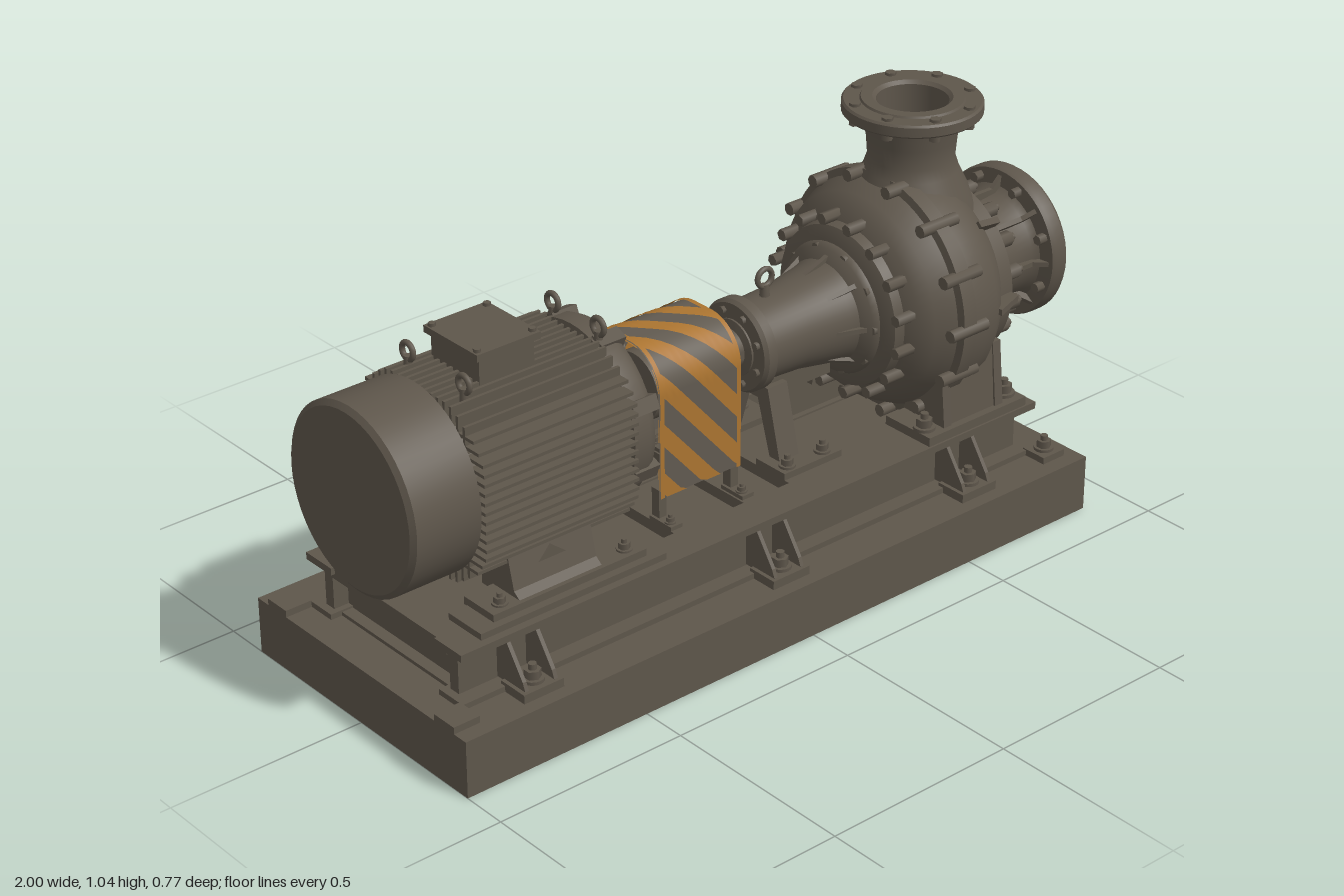
import * as THREE from 'three';
import { toCreasedNormals, mergeGeometries } from 'three/addons/utils/BufferGeometryUtils.js';
import { ParametricGeometry } from 'three/addons/geometries/ParametricGeometry.js';

const iron = new THREE.MeshStandardMaterial({ color: 0x5e564b, side: THREE.DoubleSide });
iron.name = 'dark painted iron';
const orange = new THREE.MeshStandardMaterial({ color: 0xab7430, side: THREE.DoubleSide });
orange.name = 'warning orange';
const guardGrey = new THREE.MeshStandardMaterial({ color: 0x615a50, side: THREE.DoubleSide });
guardGrey.name = 'guard grey';

const AXIS = 0.565; // height of the shaft line

export function createModel() {
  const root = new THREE.Group();
  root.name = 'pumpSet';
  const add = (name, geo, mat = iron, parent = root) => {
    const m = new THREE.Mesh(geo, mat);
    m.name = name;
    parent.add(m);
    return m;
  };
  const group = (name) => {
    const g = new THREE.Group();
    g.name = name;
    root.add(g);
    return g;
  };
  // box given by its limits
  const box = (x0, x1, y0, y1, z0, z1) => new THREE.BoxGeometry(x1 - x0, y1 - y0, Math.abs(z1 - z0))
    .translate((x0 + x1) / 2, (y0 + y1) / 2, (z0 + z1) / 2);
  const lathe = (pts, seg = 48) => toCreasedNormals(
    new THREE.LatheGeometry(pts.map(([r, h]) => new THREE.Vector2(r, h)), seg), 0.6);
  // turned part along the shaft, points are [radius, x]
  const turned = (pts, seg) => lathe(pts, seg).rotateZ(-Math.PI / 2).translate(0, AXIS, 0);
  const outline = (pts) => new THREE.Shape(pts.map(([a, b]) => new THREE.Vector2(a, b)));
  // outline in x,y extruded between z0 and z1
  const slabZ = (pts, z0, z1) => new THREE.ExtrudeGeometry(outline(pts),
    { depth: z1 - z0, bevelEnabled: false }).translate(0, 0, z0);
  // outline in z,y extruded between x0 and x1
  const slabX = (pts, x0, x1) => new THREE.ExtrudeGeometry(outline(pts.map(([z, y]) => [-z, y])),
    { depth: x1 - x0, bevelEnabled: false }).rotateY(Math.PI / 2).translate(x0, 0, 0);
  // upright washer, nut and stud
  const bolt = (x, y, z, r = 0.02) => mergeGeometries([
    new THREE.CylinderGeometry(r * 1.35, r * 1.35, r * 0.4, 16).translate(x, y + r * 0.2, z),
    new THREE.CylinderGeometry(r, r, r, 6).translate(x, y + r * 0.9, z),
    new THREE.CylinderGeometry(r * 0.5, r * 0.5, r, 10).translate(x, y + r * 1.6, z)]);
  // ring of copies around the shaft; geometry starts at the top of the ring
  const ring = (name, geo, n, parent, phase = 0.5) => {
    const all = [];
    for (let i = 0; i < n; i++) all.push(geo.clone().rotateX(((i + phase) / n) * Math.PI * 2));
    return add(name, mergeGeometries(all).translate(0, AXIS, 0), iron, parent);
  };
  const stud = (x0, x1, r, size, sides = 6) => new THREE.CylinderGeometry(size, size, x1 - x0, sides)
    .rotateZ(Math.PI / 2).translate((x0 + x1) / 2, r, 0);

  // Plinth and steel frame
  add('concretePlinth', box(-1, 0.89, 0, 0.143, -0.386, 0.386));
  const frame = group('baseFrame');
  add('groutBed', box(-0.9, 0.77, 0.14, 0.152, -0.21, 0.21), iron, frame);
  for (const s of [-1, 1]) {
    add('beamWeb', box(-0.91, 0.78, 0.143, 0.27, s * 0.215, s * 0.245), iron, frame);
    add('beamTopFlange', box(-0.93, 0.81, 0.264, 0.282, s * 0.19, s * 0.285), iron, frame);
    add('beamBottomFlange', box(-0.93, 0.8, 0.143, 0.157, s * 0.2, s * 0.285), iron, frame);
    // anchor brackets with sloped gussets
    for (const x of [-0.76, -0.04, 0.56]) {
      add('anchorPad', box(x - 0.055, x + 0.055, 0.143, 0.165, s * 0.27, s * 0.352), iron, frame);
      for (const dx of [-0.045, 0.035])
        add('anchorGusset', slabX([[s * 0.24, 0.16], [s * 0.345, 0.16], [s * 0.335, 0.185], [s * 0.28, 0.265],
          [s * 0.24, 0.265]], x + dx, x + dx + 0.01), iron, frame);
      add('anchorBolt', bolt(x, 0.165, s * 0.312, 0.02), iron, frame);
    }
    for (const x of [-0.965, 0.82]) {
      add('endPad', box(x - 0.035, x + 0.035, 0.143, 0.16, s * 0.275, s * 0.345), iron, frame);
      if (x > 0) add('endBolt', bolt(x, 0.16, s * 0.31, 0.018), iron, frame);
    }
  }
  for (const [a, b] of [[-0.92, -0.86], [-0.42, -0.36], [-0.25, -0.2], [-0.04, 0.01], [0.1, 0.29], [0.74, 0.8]])
    add('crossMember', box(a, b, 0.25, 0.278, -0.22, 0.22), iron, frame);
  add('endPlate', box(0.7, 0.715, 0.15, 0.26, -0.22, 0.22), iron, frame);
  add('endPlate', box(-0.87, -0.855, 0.15, 0.26, -0.22, 0.22), iron, frame);

  // Motor
  const motor = group('motor');
  add('fanCover', turned([[0, -1], [0.215, -1], [0.228, -0.99], [0.228, -0.82], [0.2, -0.815]]), iron, motor);
  add('motorBody', turned([[0, -0.83], [0.2, -0.83], [0.2, -0.36], [0, -0.36]]), iron, motor);
  const fins = [];
  for (let i = -7; i <= 7; i++) {
    const t = i * 0.023;
    const reach = Math.min(0.228, Math.sqrt(0.252 * 0.252 - t * t));
    for (const s of [-1, 1]) {
      fins.push(box(-0.81, -0.385, t - 0.004, t + 0.004, s * 0.1, s * reach));
      fins.push(box(-0.81, -0.385, t - 0.004, t + 0.004, s * 0.1, s * (reach - 0.008)).rotateX(Math.PI / 2));
    }
  }
  add('coolingFins', mergeGeometries(fins).translate(0, AXIS - 0.008, 0), iron, motor);
  add('endBell', turned([[0.2, -0.395], [0.222, -0.39], [0.222, -0.345], [0.212, -0.325], [0.18, -0.305],
    [0.12, -0.295], [0.1, -0.285], [0.06, -0.285], [0.05, -0.275], [0, -0.275]]), iron, motor);
  ring('endBellLug', box(-0.385, -0.315, 0.17, 0.228, -0.018, 0.018), 8, motor);
  ring('endBellBolt', stud(-0.32, -0.295, 0.17, 0.012), 8, motor);
  add('terminalBoxNeck', box(-0.69, -0.56, 0.74, 0.78, -0.08, 0.06), iron, motor);
  add('terminalBox', box(-0.7, -0.55, 0.77, 0.835, -0.095, 0.075), iron, motor);
  add('terminalLid', box(-0.712, -0.538, 0.833, 0.85, -0.105, 0.085), iron, motor);
  for (const [x, z] of [[-0.7, -0.09], [-0.55, -0.09], [-0.7, 0.07], [-0.55, 0.07]])
    add('lidScrew', new THREE.CylinderGeometry(0.009, 0.009, 0.012, 6).translate(x, 0.852, z), iron, motor);
  for (const [x, z] of [[-0.76, 0.1], [-0.375, 0.08], [-0.76, -0.1], [-0.375, -0.08]]) {
    add('liftingEye', new THREE.TorusGeometry(0.02, 0.007, 8, 20).rotateY(Math.PI / 2)
      .translate(x, 0.805, z), iron, motor);
    add('liftingStem', new THREE.CylinderGeometry(0.01, 0.012, 0.06, 10).translate(x, 0.765, z), iron, motor);
  }
  for (const s of [-1, 1]) {
    add('motorRail', box(-0.86, -0.34, 0.282, 0.298, s * 0.15, s * 0.265), iron, motor);
    add('motorFoot', slabX([[s * 0.1, 0.3], [s * 0.235, 0.3], [s * 0.235, 0.315], [s * 0.215, 0.33],
      [s * 0.19, 0.43], [s * 0.1, 0.43]], -0.73, -0.5), iron, motor);
    add('motorFootPlate', box(-0.81, -0.38, 0.296, 0.316, s * 0.14, s * 0.245), iron, motor);
    for (const x of [-0.77, -0.42]) {
      add('motorFootBolt', bolt(x, 0.315, s * 0.215, 0.014), iron, motor);
      add('motorFootRib', slabZ([[-0.73, 0.31], [-0.5, 0.31], [x * 0.9 - 0.06, 0.31], [-0.615, 0.4]].slice(0, 3)
        .concat([[-0.615, 0.4]]).filter((p, i) => i !== 2), s * 0.2 - 0.005, s * 0.2 + 0.005), iron, motor);
    }
  }

  // Shaft and coupling
  add('couplingShaft', turned([[0, -0.3], [0.03, -0.3], [0.03, -0.215], [0.085, -0.21], [0.085, -0.14], [0.07, -0.135],
    [0.07, -0.1], [0.085, -0.095], [0.085, -0.03], [0.035, -0.025], [0.035, 0.05], [0.05, 0.055], [0.05, 0.08],
    [0.07, 0.085], [0.07, 0.1], [0, 0.1]], 32));

  // Arched coupling guard, wrapped with diagonal stripes
  const guard = group('couplingGuard');
  const HALF = 0.128, R = 0.1, BOT = 0.34, TOP = 0.7, X0 = -0.243, W = 0.24;
  const side = TOP - R - BOT, arc = R * Math.PI / 2, flat = 2 * (HALF - R);
  const L = 2 * side + 2 * arc + flat;
  const onGuard = (s, x, out, target) => {
    const back = s > L / 2;
    const d = back ? L - s : s;
    let z, y;
    if (d < side) { z = HALF + out; y = BOT + d; }
    else if (d < side + arc) {
      const a = (d - side) / R;
      z = HALF - R + (R + out) * Math.cos(a);
      y = TOP - R + (R + out) * Math.sin(a);
    } else { z = HALF - R - (d - side - arc); y = TOP + out; }
    target.set(x, y, back ? -z : z);
  };
  const patch = (x0, w, s0, h, slope, out) => new ParametricGeometry((u, v, t) =>
    onGuard(THREE.MathUtils.clamp(s0 + slope * u * w + v * h, 0, L), x0 + u * w, out, t), 12, h > 0.5 ? 120 : 10);
  add('guardShell', patch(X0, W, 0, L, 0, 0), guardGrey, guard);
  for (let s = 0.02; s < L + 0.3; s += 0.125)
    for (const out of [0.003, -0.003])
      add('guardStripe', patch(X0, W, s, 0.058, -1.15, out), orange, guard);
  for (const x of [X0, X0 + W - 0.012]) add('guardRim', patch(x, 0.012, 0, L, 0, 0.004), orange, guard);
  for (const s of [-1, 1]) for (const x of [-0.235, -0.02]) {
    add('guardLeg', box(x - 0.008, x + 0.014, 0.28, 0.36, s * 0.1, s * 0.126), iron, guard);
    add('guardFoot', box(x - 0.015, x + 0.02, 0.278, 0.288, s * 0.1, s * 0.175), iron, guard);
    add('guardBolt', bolt(x, 0.288, s * 0.155, 0.01), iron, guard);
  }

  // Bearing housing with its support leg
  const bearing = group('bearingHousing');
  add('housing', turned([[0, 0.09], [0.108, 0.09], [0.115, 0.1], [0.115, 0.125], [0.1, 0.135], [0.105, 0.24], [0.122, 0.35],
    [0.128, 0.37], [0.155, 0.385], [0.165, 0.4], [0.165, 0.43], [0.13, 0.44]]), iron, bearing);
  ring('housingBolt', stud(0.08, 0.1, 0.09, 0.01), 8, bearing);
  ring('housingRib', slabZ([[0.24, 0.09], [0.42, 0.09], [0.42, 0.16], [0.36, 0.135]], -0.006, 0.006), 8, bearing, 0);
  add('oilEye', new THREE.TorusGeometry(0.022, 0.007, 8, 20).translate(0.185, 0.712, 0), iron, bearing);
  add('oilEyeStem', new THREE.CylinderGeometry(0.01, 0.014, 0.04, 10).translate(0.185, 0.675, 0), iron, bearing);
  add('sump', box(0.13, 0.34, 0.435, 0.5, -0.06, 0.06), iron, bearing);
  for (const s of [-1, 1]) {
    add('supportLeg', slabX([[s * 0.03, 0.47], [s * 0.075, 0.47], [s * 0.12, 0.29], [s * 0.085, 0.29]],
      0.13, 0.19), iron, bearing);
    add('supportFoot', box(0.1, 0.28, 0.278, 0.295, s * 0.07, s * 0.17), iron, bearing);
    for (const x of [0.13, 0.24]) add('supportBolt', bolt(x, 0.295, s * 0.145, 0.015), iron, bearing);
  }

  // Volute casing
  const pump = group('pumpCasing');
  add('volute', turned([[0, 0.4], [0.17, 0.4], [0.2, 0.415], [0.205, 0.44], [0.235, 0.455], [0.262, 0.485], [0.285, 0.535],
    [0.303, 0.54], [0.303, 0.58], [0.297, 0.585], [0.297, 0.62], [0.285, 0.665], [0.262, 0.7], [0.232, 0.73],
    [0.23, 0.77], [0.21, 0.785], [0.19, 0.785], [0.17, 0.81], [0.14, 0.825]], 64), iron, pump);
  ring('casingLug', stud(0.5, 0.615, 0.295, 0.016, 8), 14, pump);
  ring('backCoverStud', stud(0.4, 0.475, 0.218, 0.015), 16, pump);
  ring('backCoverNut', stud(0.385, 0.41, 0.15, 0.013), 10, pump);
  ring('suctionCoverNut', stud(0.765, 0.812, 0.205, 0.019), 16, pump);
  ring('suctionCoverStud', stud(0.81, 0.825, 0.205, 0.009, 8), 16, pump);
  ring('casingRib', slabZ([[0.68, 0.21], [0.765, 0.21], [0.765, 0.255], [0.68, 0.285]], -0.008, 0.008), 8, pump, 0);
  // suction nozzle with flared mouth
  add('suctionNozzle', turned([[0.15, 0.78], [0.14, 0.83], [0.132, 0.88], [0.138, 0.93], [0.15, 0.945], [0.188, 0.95],
    [0.192, 0.96], [0.192, 0.99], [0.185, 1], [0.172, 1], [0.15, 0.99], [0.132, 0.965], [0.122, 0.93],
    [0.118, 0.86], [0, 0.86]]), iron, pump);
  ring('suctionFlangeBolt', stud(0.925, 0.955, 0.168, 0.013), 8, pump);
  ring('suctionRib', slabZ([[0.8, 0.12], [0.95, 0.12], [0.95, 0.178], [0.92, 0.15], [0.8, 0.15]], -0.006, 0.006), 8, pump, 0);

  // Discharge nozzle
  const discharge = group('dischargeNozzle');
  discharge.position.set(0.645, 0, 0);
  add('nozzle', lathe([[0.16, 0.74], [0.138, 0.81], [0.114, 0.86], [0.104, 0.89], [0.108, 0.94], [0.118, 0.995], [0.163, 1],
    [0.168, 1.005], [0.168, 1.028], [0.163, 1.033], [0.125, 1.033], [0.122, 1.038], [0.095, 1.038], [0.086, 1.03],
    [0.086, 0.88], [0, 0.88]]), iron, discharge);
  for (let i = 0; i < 8; i++) {
    const a = (i + 0.5) * Math.PI / 4;
    add('nozzleBolt', new THREE.CylinderGeometry(0.014, 0.014, 0.056, 6)
      .translate(Math.cos(a) * 0.144, 1.012, Math.sin(a) * 0.144), iron, discharge);
  }

  // Pump feet
  for (const s of [-1, 1]) {
    for (const [a, b] of [[0.52, 0.545], [0.69, 0.715]])
      add('pumpLeg', slabX([[s * 0.12, 0.29], [s * 0.268, 0.29], [s * 0.25, 0.47], [s * 0.2, 0.47]], a, b), iron, pump);
    add('pumpLegWeb', slabX([[s * 0.235, 0.29], [s * 0.262, 0.29], [s * 0.248, 0.46], [s * 0.225, 0.46]],
      0.52, 0.715), iron, pump);
    add('pumpFoot', box(0.46, 0.78, 0.282, 0.305, s * 0.13, s * 0.28), iron, pump);
    for (const x of [0.485, 0.75]) add('pumpFootBolt', bolt(x, 0.305, s * 0.235, 0.02), iron, pump);
  }
  return root;
}
